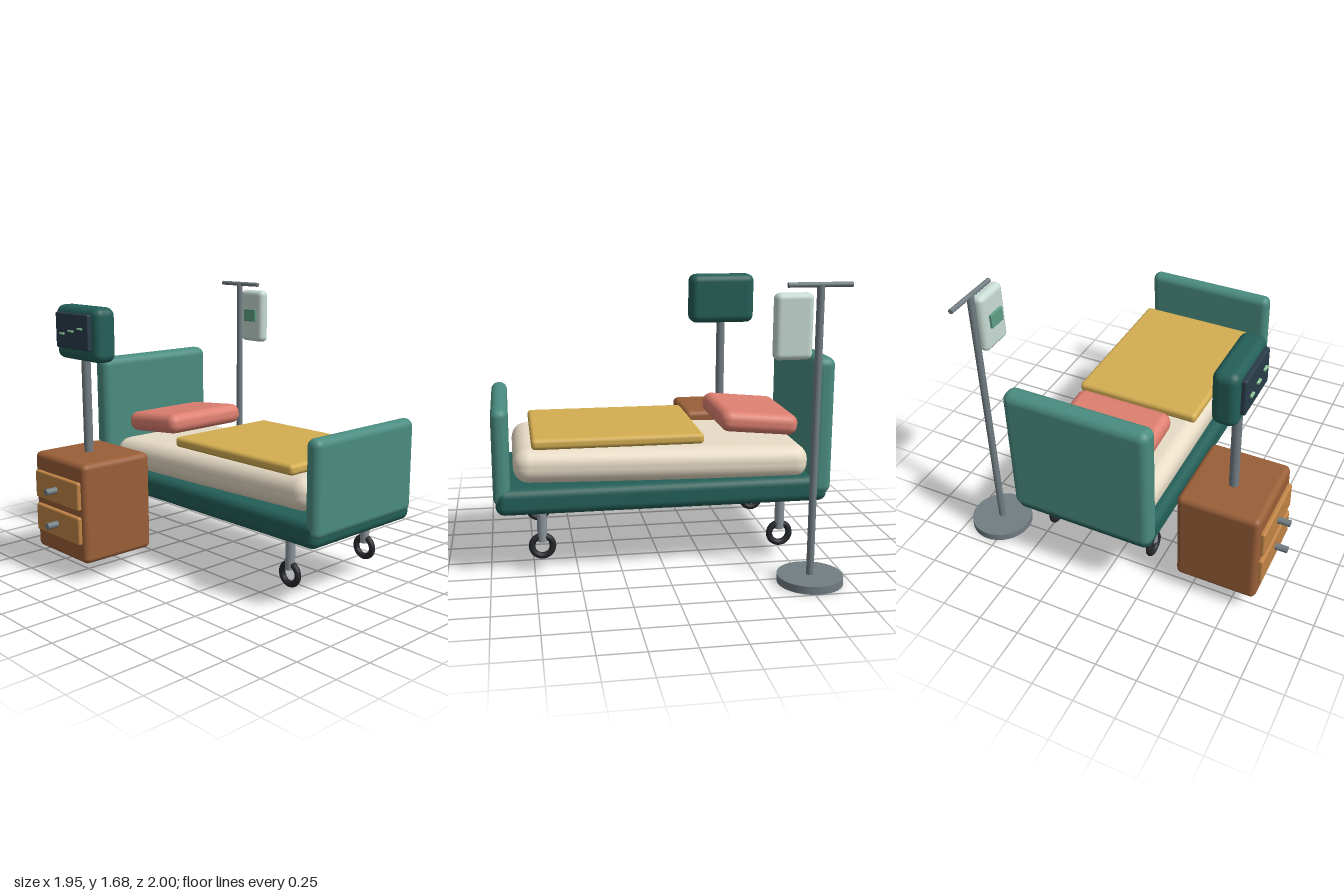
import * as THREE from 'three';
import { RoundedBoxGeometry } from 'three/addons/geometries/RoundedBoxGeometry.js';

const paint = (color) => new THREE.MeshStandardMaterial({ color });
const mats = {
  board: paint(0x4a8c80), frame: paint(0x245f58), sheet: paint(0xe8dcc6),
  pillow: paint(0xdd7f70), blanket: paint(0xd4ae52), wood: paint(0x9a5f38),
  drawer: paint(0xc08446), metal: paint(0x727e83), leg: paint(0x8a949a),
  tyre: paint(0x25282c), screen: paint(0x2a3c4a), trace: paint(0x8fd0a0),
  bag: paint(0xc8dcd4), label: paint(0x5f9f86),
};

export function createModel() {
  const model = new THREE.Group();
  model.name = 'hospitalBedSet';

  const group = (name) => {
    const g = new THREE.Group();
    g.name = name;
    model.add(g);
    return g;
  };
  const add = (parent, name, geometry, mat, x, y, z) => {
    const mesh = new THREE.Mesh(geometry, mats[mat]);
    mesh.name = name;
    mesh.position.set(x, y, z);
    parent.add(mesh);
    return mesh;
  };
  // Rounded box given by its extents on each axis
  const box = (parent, name, mat, [x0, x1], [y0, y1], [z0, z1], radius) =>
    add(parent, name, new RoundedBoxGeometry(x1 - x0, y1 - y0, z1 - z0, 4, radius), mat,
      (x0 + x1) / 2, (y0 + y1) / 2, (z0 + z1) / 2);
  // Upright cylinder between two heights
  const post = (parent, name, mat, r, x, y0, y1, z, sides = 24) =>
    add(parent, name, new THREE.CylinderGeometry(r, r, y1 - y0, sides), mat, x, (y0 + y1) / 2, z);

  // Bed frame, end boards and bedding
  const bed = group('bed');
  box(bed, 'bedFrame', 'frame', [-0.96, 0.96], [0.375, 0.53], [-0.55, 0.315], 0.05);
  box(bed, 'headboard', 'board', [-0.98, -0.855], [0.42, 1.23], [-0.555, 0.325], 0.05);
  box(bed, 'footboard', 'board', [0.877, 0.973], [0.43, 0.987], [-0.54, 0.31], 0.045);
  box(bed, 'mattress', 'sheet', [-0.858, 0.858], [0.522, 0.722], [-0.52, 0.275], 0.09).rotation.z = 0.025;
  box(bed, 'pillow', 'pillow', [-0.813, -0.347], [0.762, 0.887], [-0.425, 0.185], 0.055).rotation.z = 0.095;
  box(bed, 'blanket', 'blanket', [-0.228, 0.754], [0.743, 0.806], [-0.51, 0.27], 0.025);

  // Legs with ring casters
  for (const x of [-0.7, 0.704]) {
    for (const z of [-0.445, 0.217]) {
      post(bed, 'leg', 'leg', 0.028, x, 0.19, 0.4, z);
      add(bed, 'caster', new THREE.TorusGeometry(0.06, 0.019, 12, 32), 'tyre', x, 0.162, z);
    }
  }

  // Bedside cabinet with two drawers
  const cabinet = group('cabinet');
  box(cabinet, 'cabinetBody', 'wood', [-0.815, -0.293], [0.113, 0.72], [0.414, 0.904], 0.035);
  for (const y of [0.316, 0.527]) {
    box(cabinet, 'drawerFront', 'drawer', [-0.778, -0.327], [y - 0.085, y + 0.085], [0.888, 0.928], 0.012);
    add(cabinet, 'drawerKnob', new THREE.CylinderGeometry(0.02, 0.02, 0.08, 20), 'metal', -0.553, y, 0.96)
      .rotation.x = Math.PI / 2;
  }

  // Monitor on a pole
  const monitor = group('monitor');
  post(monitor, 'monitorPole', 'metal', 0.028, -0.58, 0.71, 1.31, 0.662);
  box(monitor, 'monitorCase', 'frame', [-0.796, -0.359], [1.284, 1.61], [0.585, 0.733], 0.05);
  box(monitor, 'monitorScreen', 'screen', [-0.746, -0.414], [1.357, 1.57], [0.72, 0.76], 0.01);
  for (let i = 0; i < 3; i++) {
    add(monitor, 'screenTrace', new THREE.BoxGeometry(0.042, 0.01, 0.018), 'trace',
      -0.672 + i * 0.093, 1.445 + i * 0.02, 0.764);
  }

  // Drip stand with hanging bag
  const stand = group('dripStand');
  post(stand, 'standBase', 'metal', 0.186, -0.776, 0, 0.045, -0.813, 40);
  post(stand, 'standPole', 'metal', 0.021, -0.776, 0.02, 1.67, -0.813);
  add(stand, 'standCrossbar', new THREE.CylinderGeometry(0.014, 0.014, 0.355, 16), 'metal', -0.773, 1.669, -0.815)
    .rotation.z = Math.PI / 2;
  box(stand, 'dripBag', 'bag', [-0.735, -0.523], [1.273, 1.63], [-0.853, -0.778], 0.033);
  box(stand, 'bagLabel', 'label', [-0.684, -0.572], [1.415, 1.5], [-0.79, -0.763], 0.004);

  return model;
}
